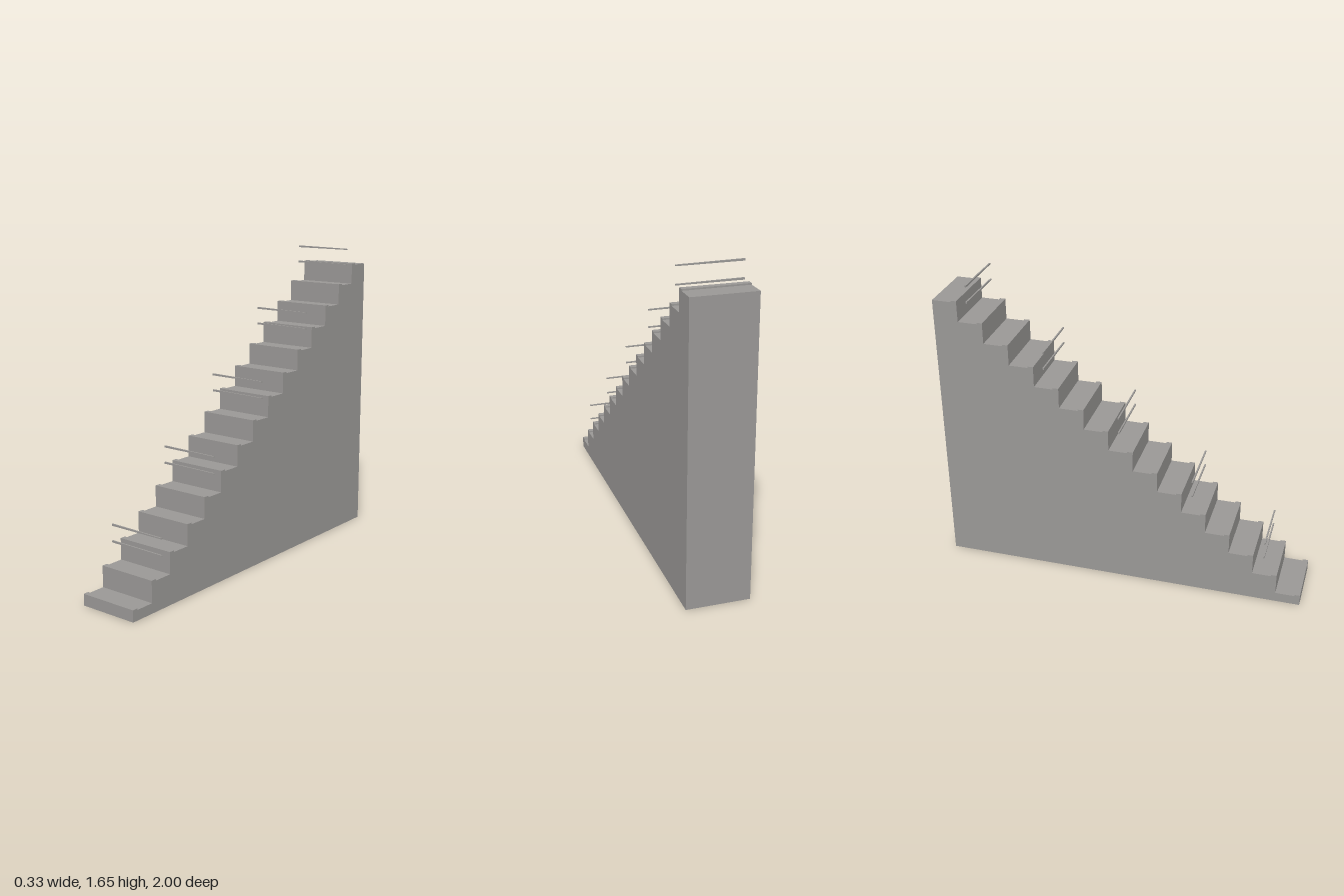
import * as THREE from 'three';

const STEPS = 15, RUN = 2 / STEPS, RISE = 0.1067, HALF = 0.165;
const TREAD = 0.054, LIP = 0.062, LIP_DEPTH = 0.03;

// Stair outline as [depth, height], from the front foot up to the back foot
function stairProfile() {
  const pts = [[-1, 0]];
  for (let i = 0; i < STEPS; i++) {
    const s = -1 + i * RUN, y = i * RISE;
    pts.push([s, y + LIP], [s + LIP_DEPTH, y + LIP], [s + LIP_DEPTH, y + TREAD], [s + RUN, y + TREAD]);
  }
  pts.push([1, 0]);
  return pts;
}

// Risers, nosings, treads and back wall as one folded sheet, open underneath
function foldedSheet(pts) {
  const pos = [];
  for (let i = 0; i < pts.length - 1; i++) {
    const [s0, y0] = pts[i], [s1, y1] = pts[i + 1];
    const a = [-HALF, y0, -s0], b = [HALF, y0, -s0], c = [HALF, y1, -s1], d = [-HALF, y1, -s1];
    pos.push(...a, ...b, ...c, ...a, ...c, ...d);
  }
  const geo = new THREE.BufferGeometry();
  geo.setAttribute('position', new THREE.Float32BufferAttribute(pos, 3));
  geo.computeVertexNormals();
  return geo;
}

// Thin bar whose top slopes slightly down towards +x
function barGeometry() {
  const geo = new THREE.BoxGeometry(HALF * 2, 0.01, 0.008).toNonIndexed();
  const p = geo.attributes.position;
  for (let i = 0; i < p.count; i++) {
    if (p.getX(i) > 0 && p.getY(i) > 0) p.setY(i, 0.001);
  }
  geo.computeVertexNormals();
  return geo;
}

export function createModel() {
  const model = new THREE.Group();
  model.name = 'staircase';
  const grey = new THREE.MeshStandardMaterial({ color: 0x9a9896, side: THREE.DoubleSide });
  grey.name = 'stone grey';

  const add = (geo, name) => {
    const mesh = new THREE.Mesh(geo, grey);
    mesh.name = name;
    model.add(mesh);
    return mesh;
  };

  const pts = stairProfile();
  add(foldedSheet(pts), 'stepsAndBack');

  // Side walls
  const shape = new THREE.Shape(pts.map(([s, y]) => new THREE.Vector2(s, y)));
  const wall = new THREE.ShapeGeometry(shape).rotateY(Math.PI / 2).translate(HALF, 0, 0);
  add(wall, 'leftWall');
  add(wall, 'rightWall').scale.x = -1;

  // A pair of floating bars above every third step
  const bar = barGeometry();
  for (let i = 0; i < 5; i++) {
    for (const [y, name] of [[0.274, 'lowerBar'], [0.362, 'upperBar']]) {
      add(bar, name).position.set(0, y + i * 3 * RISE, 0.79 - i * 3 * RUN);
    }
  }
  return model;
}
